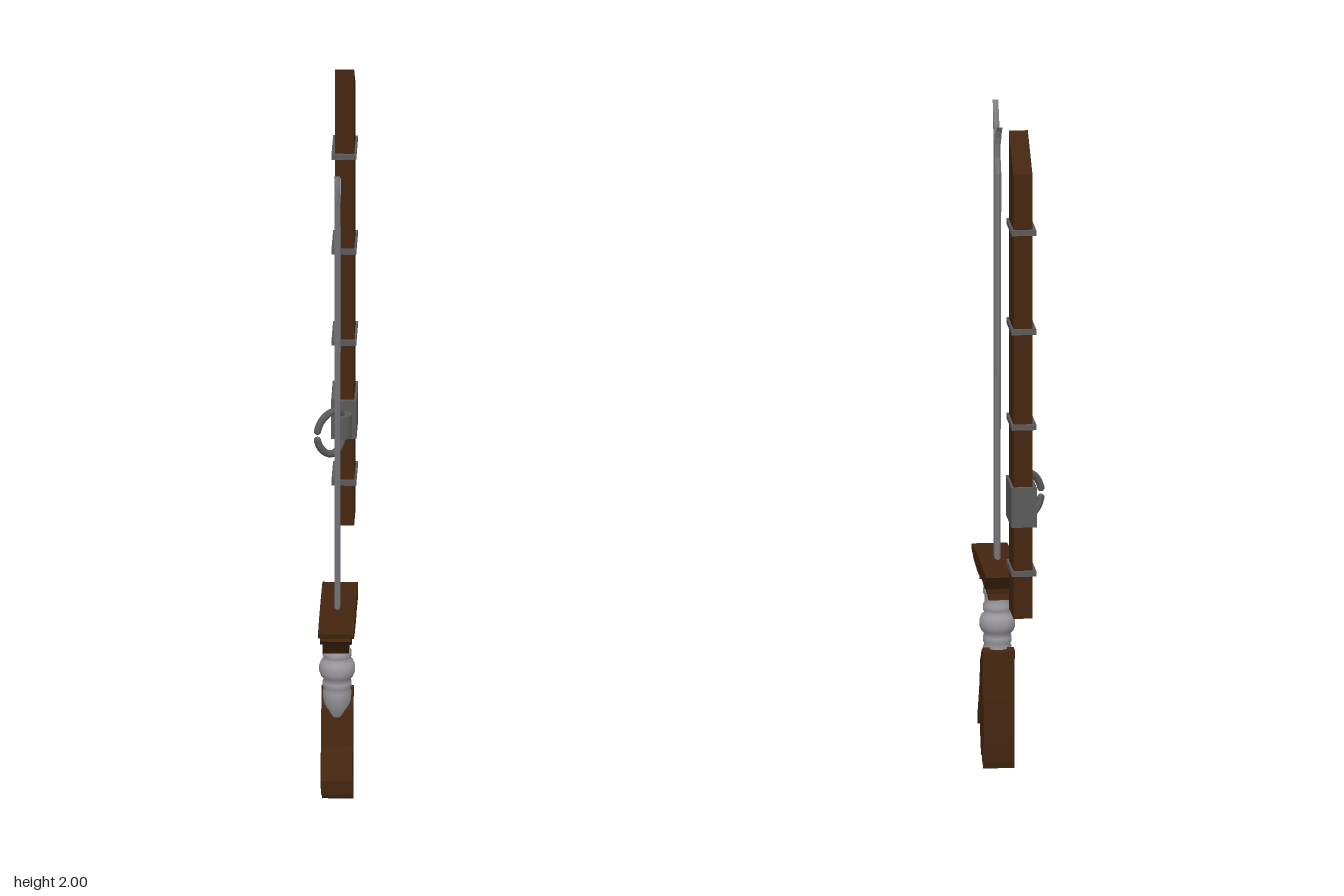
import * as THREE from 'three';

const material = (name, color, extra = {}) => {
  const m = new THREE.MeshStandardMaterial({ color, ...extra });
  m.name = name;
  return m;
};

// Extrude an outline of [z, y] points across x0..x1
function plate(points, x0, x1) {
  const shape = new THREE.Shape(points.map(([z, y]) => new THREE.Vector2(z, y)));
  const g = new THREE.ExtrudeGeometry(shape, { depth: x1 - x0, bevelEnabled: false });
  g.rotateY(-Math.PI / 2);
  g.translate(x1, 0, 0);
  return g;
}

// Loft a bevelled six-sided section through levels of [y, frontZ, backZ]
function bladeSection(levels, cx, half) {
  const pos = [], index = [];
  for (const [y, f, b] of levels) {
    const bevel = Math.min(0.018, (f - b) * 0.3);
    pos.push(cx, y, f, cx + half, y, f - bevel, cx + half, y, b + bevel,
      cx, y, b, cx - half, y, b + bevel, cx - half, y, f - bevel);
  }
  for (let i = 0; i < levels.length - 1; i++) {
    for (let k = 0; k < 6; k++) {
      const a = i * 6 + k, b = i * 6 + (k + 1) % 6;
      index.push(a, b, a + 6, b, b + 6, a + 6);
    }
  }
  const last = (levels.length - 1) * 6;
  for (let k = 1; k < 5; k++) {
    index.push(0, k + 1, k, last, last + k, last + k + 1);
  }
  const g = new THREE.BufferGeometry();
  g.setAttribute('position', new THREE.Float32BufferAttribute(pos, 3));
  g.setIndex(index);
  const flat = g.toNonIndexed();
  flat.computeVertexNormals();
  return flat;
}

export function createModel() {
  const model = new THREE.Group();
  model.name = 'swordAndScabbard';
  const wood = material('dark wood', 0x44250f);
  const steel = material('blade steel', 0x87858b);
  const gripMetal = material('grip metal', 0x9c999f);
  const iron = material('dark iron', 0x5a5a5a);

  const add = (parent, name, geometry, mat) => {
    const mesh = new THREE.Mesh(geometry, mat);
    mesh.name = name;
    parent.add(mesh);
    return mesh;
  };
  const box = (x0, x1, y0, y1, z0, z1) =>
    new THREE.BoxGeometry(x1 - x0, y1 - y0, z1 - z0)
      .translate((x0 + x1) / 2, (y0 + y1) / 2, (z0 + z1) / 2);

  const sword = new THREE.Group();
  sword.name = 'sword';
  const scabbard = new THREE.Group();
  scabbard.name = 'scabbard';
  model.add(sword, scabbard);

  // Blade with a split, broken tip
  const cx = 0.014;
  add(sword, 'blade', bladeSection([
    [0.59, 0.302, 0.229], [1.2, 0.303, 0.215], [1.735, 0.305, 0.204],
    [1.78, 0.305, 0.225], [1.825, 0.305, 0.221],
  ], cx, 0.008), steel);
  add(sword, 'frontTip', bladeSection([
    [1.82, 0.305, 0.236], [1.84, 0.305, 0.243], [1.88, 0.305, 0.272], [1.93, 0.305, 0.302],
  ], cx, 0.008), steel);
  add(sword, 'backTip', bladeSection([
    [1.82, 0.255, 0.221], [1.842, 0.24, 0.212], [1.862, 0.218, 0.201], [1.877, 0.192, 0.188],
  ], cx, 0.008), steel);

  // Splintered guard: a wide upper slab over narrower broken layers
  add(sword, 'guardTop', plate([
    [0.46, 0.597], [0.36, 0.604], [0.26, 0.606], [0.16, 0.603], [0.066, 0.596],
    [0.098, 0.556], [0.135, 0.559], [0.18, 0.563], [0.26, 0.556],
    [0.34, 0.56], [0.4, 0.566], [0.425, 0.575], [0.457, 0.582],
  ], -0.035, 0.066), wood);
  add(sword, 'guardMiddle', plate([
    [0.44, 0.566], [0.38, 0.58], [0.14, 0.58], [0.118, 0.562], [0.12, 0.536],
    [0.15, 0.54], [0.2, 0.55], [0.26, 0.545], [0.33, 0.55], [0.385, 0.535], [0.42, 0.55],
  ], -0.03, 0.058), wood);
  add(sword, 'guardLower', plate([
    [0.425, 0.556], [0.38, 0.572], [0.15, 0.572], [0.15, 0.54], [0.138, 0.512],
    [0.165, 0.51], [0.215, 0.543], [0.31, 0.545], [0.33, 0.55], [0.39, 0.51],
  ], -0.024, 0.05), wood);

  // Turned grip
  const profile = [
    [0, 0.28], [0.04, 0.28], [0.04, 0.348], [0.036, 0.355], [0.041, 0.362], [0.041, 0.376],
    [0.037, 0.384], [0.046, 0.394], [0.051, 0.408], [0.051, 0.424], [0.046, 0.438],
    [0.037, 0.447], [0.041, 0.455], [0.041, 0.468], [0.036, 0.476], [0.036, 0.496],
    [0.041, 0.503], [0.041, 0.515], [0.036, 0.522], [0.04, 0.53], [0.04, 0.56], [0, 0.56],
  ].map(([r, y]) => new THREE.Vector2(r, y));
  add(sword, 'grip', new THREE.LatheGeometry(profile, 24).translate(0.013, 0, 0.265), gripMetal);

  // Flared, broken wooden pommel
  add(sword, 'pommel', plate([
    [0.235, 0.35], [0.262, 0.337], [0.298, 0.3], [0.328, 0.205], [0.378, 0.115],
    [0.378, 0.092], [0.352, 0.1], [0.342, 0.122], [0.3, 0.138], [0.296, 0.04],
    [0.278, 0.046], [0.273, 0.028], [0.25, 0.032], [0.247, 0.016], [0.233, 0.018],
    [0.224, 0], [0.219, 0.02], [0.215, 0.09], [0.215, 0.2], [0.224, 0.32],
  ], -0.031, 0.058), wood);
  add(sword, 'pommelCollar', plate([
    [0.24, 0.346], [0.215, 0.343], [0.212, 0.32], [0.232, 0.315],
  ], -0.032, 0.059), wood);

  // Scabbard body with a slanted top
  add(scabbard, 'scabbardBody', plate([
    [-0.325, 0.609], [-0.325, 2.0], [-0.455, 1.902], [-0.455, 0.609],
  ], -0.012, 0.042), wood);
  for (const y of [0.741, 1.168, 1.446, 1.735]) {
    add(scabbard, 'band', box(-0.022, 0.048, y - 0.008, y + 0.008, -0.463, -0.317), iron);
  }
  add(scabbard, 'sleeve', box(-0.023, 0.049, 0.877, 0.993, -0.465, -0.314), iron);

  // Hanger post and open ring
  add(scabbard, 'hangerPost',
    new THREE.CylinderGeometry(0.025, 0.025, 0.068, 20).translate(0.011, 0.927, -0.293), iron);
  const ringPoints = [];
  for (let i = 0; i <= 24; i++) {
    const a = Math.PI + 0.22 + (i / 24) * (Math.PI * 2 - 0.44);
    const u = Math.cos(a);
    const bend = 0.008 * (1 - u * u);
    ringPoints.push(new THREE.Vector3(
      -0.024 + 0.036 * u + bend, 0.919 + 0.064 * Math.sin(a), -0.267 - 0.035 * u + bend));
  }
  const ringCurve = new THREE.CatmullRomCurve3(ringPoints);
  add(scabbard, 'hangerRing', new THREE.TubeGeometry(ringCurve, 48, 0.0105, 10), iron);
  for (const p of [ringPoints[0], ringPoints[24]]) {
    add(scabbard, 'ringEnd', new THREE.SphereGeometry(0.0105, 10, 8).translate(p.x, p.y, p.z), iron);
  }
  return model;
}
